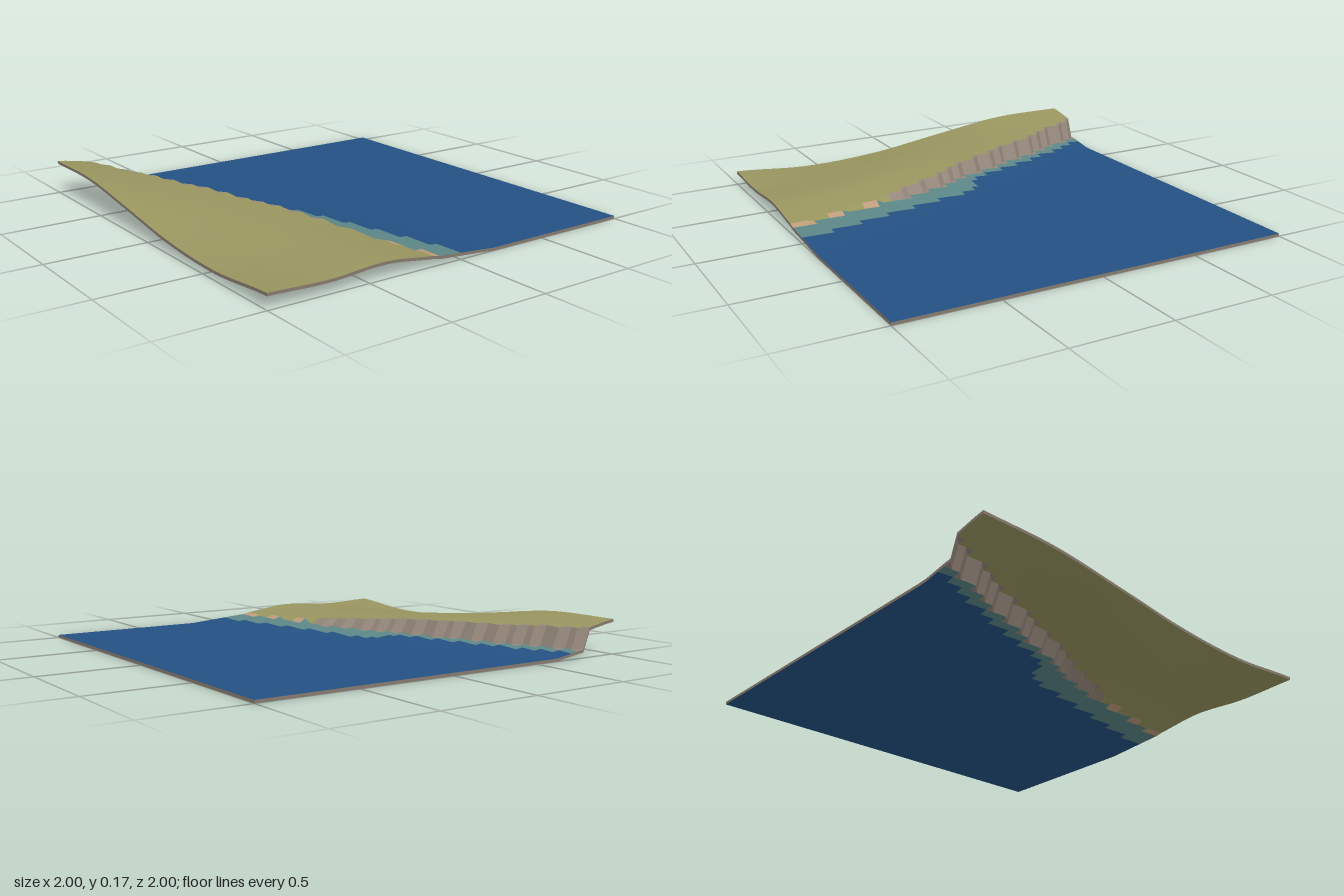
import * as THREE from 'three';
import { toCreasedNormals } from 'three/addons/utils/BufferGeometryUtils.js';

const N = 50, STEP = 2 / N, THICK = 0.014;

// Piecewise linear curve through [x, value] points
const along = (pts, x) => {
  let i = 0;
  while (i < pts.length - 2 && x > pts[i + 1][0]) i++;
  const [[x0, v0], [x1, v1]] = [pts[i], pts[i + 1]];
  return v0 + (v1 - v0) * (x - x0) / (x1 - x0);
};

// Smooth curve through evenly spaced values, u from 0 to 1
const smooth = (v, u) => {
  const f = Math.min(Math.max(u, 0), 1) * (v.length - 1);
  const i = Math.min(Math.floor(f), v.length - 2), t = f - i;
  const at = k => v[Math.min(Math.max(k, 0), v.length - 1)];
  const p0 = at(i - 1), p1 = at(i), p2 = at(i + 1), p3 = at(i + 2);
  return p1 + 0.5 * t * (p2 - p0 + t * (2 * p0 - 5 * p1 + 4 * p2 - p3 + t * (3 * (p1 - p2) + p3 - p0)));
};

// Coast line and the outer edge of the shallows, both as z over x
const COAST = [[-1, 0.79], [-0.84, 0.72], [-0.6, 0.62], [-0.2, 0.47], [0, 0.39],
  [0.2, 0.31], [0.4, 0.25], [0.6, 0.2], [0.8, 0.16], [1, 0.115]];
const SHALLOWS = [[-1, 0.73], [-0.6, 0.555], [-0.2, 0.415], [-0.1, 0.37], [-0.07, 0.28],
  [0, 0.235], [0.3, 0.155], [0.6, 0.075], [1, -0.02]];

// Land heights from coast to front edge, one row per x from -1 to 1
const HILLS = [
  [0.135, 0.147, 0.16, 0.17],
  [0.122, 0.136, 0.15, 0.166],
  [0.112, 0.12, 0.122, 0.116],
  [0.085, 0.101, 0.09, 0.062],
  [0.055, 0.084, 0.066, 0.044],
  [0.045, 0.078, 0.063, 0.073],
];

function height(x, z) {
  const coast = along(COAST, x);
  if (z > coast + 0.018) {
    const t = (z - coast) / (1 - coast);
    return smooth(HILLS.map(row => smooth(row, t)), (x + 1) / 2);
  }
  const reach = 0.24 + 0.08 * x;
  const rise = Math.min(Math.max((z - coast + reach) / reach, 0), 1);
  return THICK + 0.026 * rise;
}

export function createModel() {
  const group = new THREE.Group();
  group.name = 'coastalTerrain';

  const colours = {
    deepWater: 0x235082, shallowWater: 0x5c8686, sand: 0xbc9c7a,
    cliff: 0x94867a, grass: 0x98955f, slabEdge: 0x857a6e,
  };
  const faces = {};
  for (const name in colours) faces[name] = [];

  const coord = i => -1 + i * STEP;
  const top = [];
  for (let i = 0; i <= N; i++) {
    top.push([]);
    for (let j = 0; j <= N; j++) top[i].push([coord(i), height(coord(i), coord(j)), coord(j)]);
  }
  const under = p => [p[0], p[1] - THICK, p[2]];

  // Surface kind of one grid cell
  const kindOf = (x, z, drop) => {
    const s = z - along(COAST, x);
    if (drop > 0.03) return 'cliff';
    if (z < along(SHALLOWS, x)) return 'deepWater';
    if (s < 0) return 'shallowWater';
    return s < 0.023 ? 'sand' : 'grass';
  };

  // Upper and lower skin, cell by cell
  for (let i = 0; i < N; i++) {
    for (let j = 0; j < N; j++) {
      const a = top[i][j], b = top[i + 1][j], c = top[i][j + 1], d = top[i + 1][j + 1];
      const ys = [a, b, c, d].map(p => p[1]);
      const drop = Math.max(...ys) - Math.min(...ys);
      const kind = kindOf(coord(i + 0.5), coord(j + 0.5), drop);
      faces[kind].push(a, c, b, b, c, d);
      faces[kind].push(...[a, b, c, b, d, c].map(under));
    }
  }

  // Thin rim on the four sides
  const rim = (p, q) => faces.slabEdge.push(under(p), under(q), q, under(p), q, p);
  for (let i = 0; i < N; i++) {
    rim(top[i][N], top[i + 1][N]);
    rim(top[i + 1][0], top[i][0]);
    rim(top[N][i + 1], top[N][i]);
    rim(top[0][i], top[0][i + 1]);
  }

  // One mesh per surface kind
  for (const name in colours) {
    const geometry = new THREE.BufferGeometry();
    geometry.setAttribute('position', new THREE.Float32BufferAttribute(faces[name].flat(), 3));
    const material = new THREE.MeshStandardMaterial({ color: colours[name] });
    material.name = name;
    const mesh = new THREE.Mesh(toCreasedNormals(geometry, 0.5), material);
    mesh.name = name;
    group.add(mesh);
  }
  return group;
}
